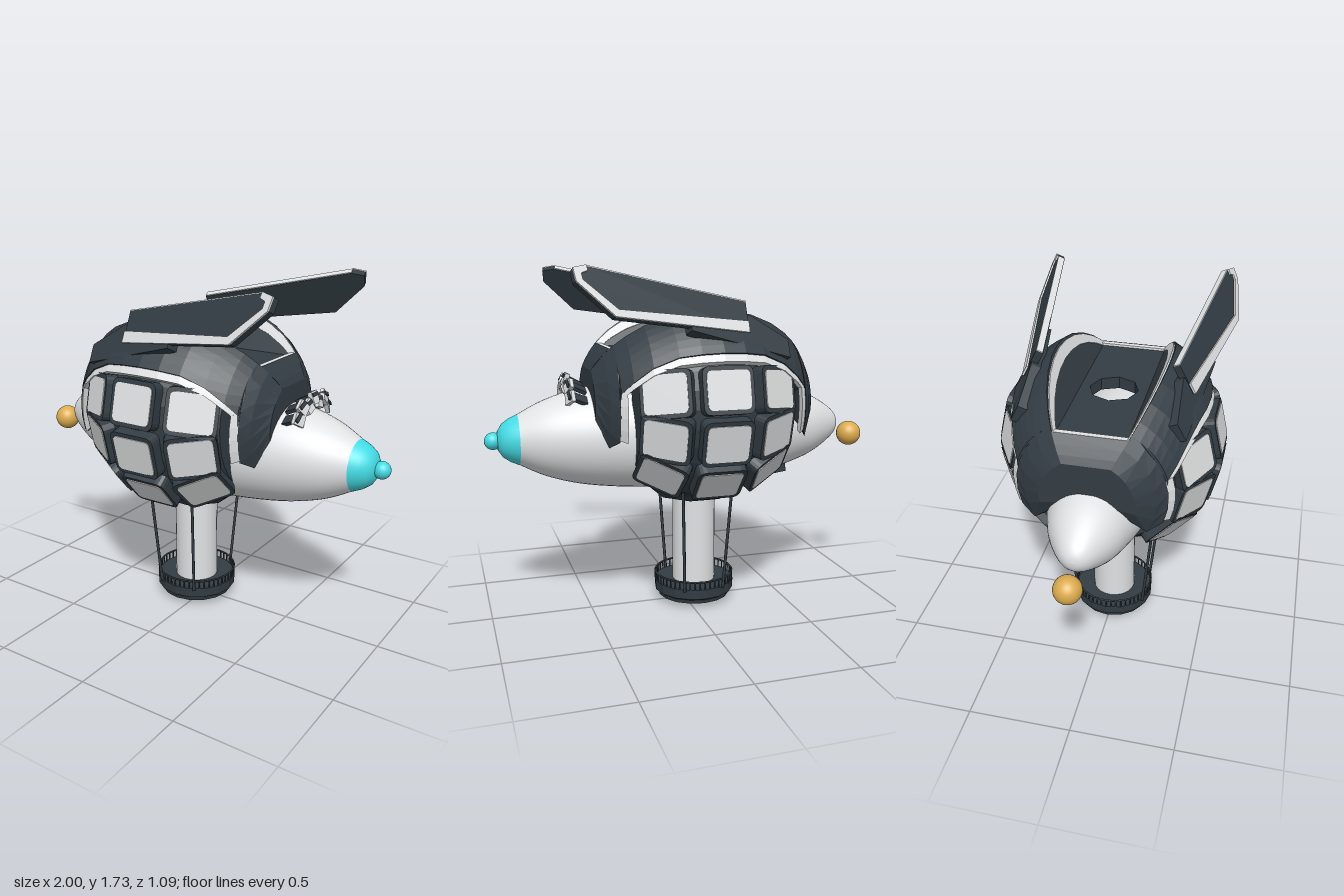
import * as THREE from 'three';

const mat = (name, color, side = THREE.FrontSide) => {
  const m = new THREE.MeshStandardMaterial({ color, side });
  m.name = name;
  return m;
};
const rad = THREE.MathUtils.degToRad;

export function createModel() {
  const root = new THREE.Group();
  root.name = 'airship';
  const dark = mat('dark slate', 0x333d44, THREE.DoubleSide);
  const light = mat('pale grey', 0xe0e2e3, THREE.DoubleSide);
  const cyan = mat('cyan', 0x44dbe4);
  const gold = mat('gold', 0xdcac4e);
  const CX = -0.05;

  const add = (name, geo, material, x = 0, y = 0, z = 0, parent = root) => {
    const m = new THREE.Mesh(geo, material);
    m.name = name;
    m.position.set(x, y, z);
    parent.add(m);
    return m;
  };

  // Thick curved plate: sections at each theta (towards x), spanning phi lo..hi around the x axis
  const block = (knots, { rx, r, rIn, cy, n }) => {
    const pt = (t, p, s) => [CX + rx * Math.sin(rad(t)),
      cy + r * s * Math.cos(rad(t)) * Math.sin(rad(p)),
      r * s * Math.cos(rad(t)) * Math.cos(rad(p))];
    const rings = knots.map(([t, lo, hi]) => {
      const out = [], inn = [];
      for (let j = 0; j <= n; j++) {
        const p = lo + (hi - lo) * j / n;
        out.push(pt(t, p, 1));
        inn.unshift(pt(t, p, rIn));
      }
      return [...out, ...inn];
    });
    const pos = [], L = 2 * n + 2;
    const quad = (a, b, c, d) => pos.push(...a, ...b, ...c, ...a, ...c, ...d);
    for (let i = 0; i < rings.length - 1; i++) {
      for (let j = 0; j < L; j++) {
        const k = (j + 1) % L;
        quad(rings[i][j], rings[i + 1][j], rings[i + 1][k], rings[i][k]);
      }
    }
    const a = rings[0], b = rings[rings.length - 1];
    for (let j = 0; j < n; j++) {
      quad(a[j], a[j + 1], a[L - 2 - j], a[L - 1 - j]);
      quad(b[j + 1], b[j], b[L - 1 - j], b[L - 2 - j]);
    }
    const g = new THREE.BufferGeometry();
    g.setAttribute('position', new THREE.Float32BufferAttribute(pos, 3));
    g.computeVertexNormals();
    return g;
  };
  const mirrorKnots = k => [...k.slice(1).reverse().map(([t, ...v]) => [-t, ...v]), ...k];

  // Hull, turned around the x axis, with a coloured nose
  const spin = pts => new THREE.LatheGeometry(pts, 48).rotateZ(-Math.PI / 2);
  const curve = new THREE.SplineCurve([[-0.85, 0], [-0.84, 0.04], [-0.8, 0.085], [-0.7, 0.148], [-0.6, 0.188],
    [-0.4, 0.24], [-0.1, 0.272], [0.2, 0.275], [0.5, 0.243], [0.7, 0.19], [0.84, 0.122]]
    .map(([x, r]) => new THREE.Vector2(r, x)));
  add('hull', spin(curve.getPoints(50).map(p => p.setX(Math.max(0, p.x)))), light, 0, 0.905);
  add('noseCap', spin([[0.84, 0.123], [0.88, 0.105], [0.915, 0.08], [0.937, 0.045], [0.943, 0]]
    .map(([x, r]) => new THREE.Vector2(r, x))), cyan, 0, 0.905);
  add('noseBall', new THREE.SphereGeometry(0.042, 24, 16), cyan, 0.958, 0.905);
  add('tailBall', new THREE.SphereGeometry(0.065, 32, 20), gold, -0.935, 0.835);

  // Both sides: shell, rims, window panel and fin, built for +z and mirrored
  const shell = { rx: 0.6, r: 0.55, rIn: 0.45, cy: 1.05, n: 6 };
  const arch = [[0, 32], [10, 32], [20, 32], [32, 29], [42, 23], [49, 17]];
  const ends = [[50, -20], [56, -31], [66.4, -8]];
  const shellGeo = block(mirrorKnots([...arch, ...ends].map(([t, p]) => [t, p, 60])), shell);
  const archRim = block(mirrorKnots(arch.map(([t, p]) => [t, p - 4, p])), { ...shell, r: 0.54, rIn: 0.9, n: 1 });
  const postRim = s => block((s > 0 ? [45.5, 49.8] : [-49.8, -45.5]).map(t => [t, -19, 17]),
    { ...shell, r: 0.54, rIn: 0.9, n: 4 });
  const topRim = block(mirrorKnots([0, 10, 20, 30, 40, 47, 51.5].map(t => [t, 59.5, 60.8])),
    { ...shell, r: 0.537, rIn: 0.89, n: 1 });
  const panelGeo = block(mirrorKnots([0, 11, 22, 33, 44].map(t => [t, -60, 35])),
    { rx: 0.53, r: 0.5, rIn: 0.55, cy: 1.06, n: 9 });

  const rounded = (w, h, r) => {
    const s = new THREE.Shape(), x = w / 2, y = h / 2;
    s.moveTo(-x + r, -y).lineTo(x - r, -y).quadraticCurveTo(x, -y, x, -y + r)
      .lineTo(x, y - r).quadraticCurveTo(x, y, x - r, y)
      .lineTo(-x + r, y).quadraticCurveTo(-x, y, -x, y - r)
      .lineTo(-x, -y + r).quadraticCurveTo(-x, -y, -x + r, -y);
    return s;
  };
  const extrude = (shape, depth) => new THREE.ExtrudeGeometry(shape, { depth, bevelEnabled: false, curveSegments: 4 });
  const poly = pts => new THREE.Shape(pts.map(([x, y]) => new THREE.Vector2(x, y)));
  const frameGeo = extrude(rounded(0.245, 0.222, 0.04), 0.06);
  const paneGeo = extrude(rounded(0.207, 0.18, 0.025), 0.008);

  // Fin frame: u runs along the fin, v across it, w faces outwards
  const u = new THREE.Vector3(0.66, 0.09, 0.12).normalize();
  const w = u.clone().cross(new THREE.Vector3(-0.02, 0.13, -0.07)).normalize();
  const v = w.clone().cross(u);

  for (const s of [1, -1]) {
    const side = new THREE.Group();
    side.name = s > 0 ? 'frontSide' : 'backSide';
    side.scale.z = s;
    root.add(side);
    add('shell', shellGeo, dark, 0, 0, 0, side);
    add('archRim', archRim, light, 0, 0, 0, side);
    add('archRimPost', postRim(1), light, 0, 0, 0, side);
    add('archRimPost', postRim(-1), light, 0, 0, 0, side);
    add('topRim', topRim, light, 0, 0, 0, side);
    add('windowPanel', panelGeo, dark, 0, 0, 0, side);

    // Three by three windows facing away from the shell centre
    for (const t of [-31, 0, 31]) for (const p of [13, -14, -41]) {
      const win = new THREE.Group();
      win.name = 'window';
      const d = new THREE.Vector3(Math.sin(rad(t)), Math.cos(rad(t)) * Math.sin(rad(p)),
        Math.cos(rad(t)) * Math.cos(rad(p)));
      win.position.set(CX, 1.06, 0).addScaledVector(d, 0.475);
      win.rotation.set(rad(-p), rad(t), p < -30 ? Math.sign(t) * 0.1 : 0);
      side.add(win);
      add('windowFrame', frameGeo, dark, 0, 0, 0, win);
      add('windowPane', paneGeo, light, 0, 0, 0.056, win);
    }

    // Swept fin with pale edging
    const fin = new THREE.Group();
    fin.name = 'fin';
    fin.quaternion.setFromRotationMatrix(new THREE.Matrix4().makeBasis(u, v, w));
    fin.position.set(-0.19, 1.425, 0.4);
    side.add(fin);
    add('finBlade', extrude(poly([[0, 0], [0.67, 0], [0.84, 0.14], [0.85, 0.2], [0.79, 0.22], [0, 0.155]]), 0.035),
      dark, 0, 0, -0.035, fin);
    add('finRim', extrude(poly([[0, -0.002], [0.67, -0.002], [0.84, 0.138], [0.852, 0.2], [0.79, 0.222], [0.785, 0.195],
      [0.815, 0.18], [0.81, 0.15], [0.655, 0.033], [0, 0.055]]), 0.008), light, 0, 0, 0, fin);
    add('finTopEdge', extrude(poly([[0, 0.154], [0.79, 0.219], [0.79, 0.224], [0, 0.159]]), 0.032),
      light, 0, 0, -0.032, fin);
    add('finRoot', extrude(poly([[-0.22, -0.1], [-0.22, -0.01], [-0.02, 0.09], [0.3, 0.1], [0.3, -0.02]]), 0.06),
      dark, 0, 0, -0.065, fin);
  }

  // Shell ends bridging both sides, with a pale sill just inside the roof opening
  for (const s of [1, -1]) {
    const k = [51.5, 57, 62, 66.4].map(t => [s * t, 60, 120]);
    add('shellEnd', block(s > 0 ? k : k.reverse(), { ...shell, rIn: 0.2, n: 1 }), dark);
    add('shellEndPlate', new THREE.BoxGeometry(0.02, 0.16, 0.2), dark, CX + s * 0.538, 1.11);
    add('roofSill', new THREE.BoxGeometry(0.028, 0.012, 0.33), light, CX + s * 0.455, 1.339);
  }

  // Roof deck with an octagonal opening above the hull
  const deck = poly([[-0.46, -0.17], [0.46, -0.17], [0.46, 0.17], [-0.46, 0.17]]);
  deck.holes.push(new THREE.Path(Array.from({ length: 8 }, (_, i) =>
    new THREE.Vector2(Math.cos(i * Math.PI / 4), Math.sin(i * Math.PI / 4)).multiplyScalar(0.118))));
  add('roofDeck', extrude(deck, 0.06).rotateX(-Math.PI / 2), dark, CX, 1.27);

  // Broken crest of small plates over the hull
  for (let i = -3; i <= 3; i++) {
    const odd = i % 2 !== 0;
    const tooth = new THREE.Group();
    tooth.name = 'crestTooth';
    tooth.position.set(0.57, 0.905, 0);
    tooth.rotation.x = i * 0.2;
    root.add(tooth);
    add('crestPlate', new THREE.BoxGeometry(0.1, 0.018, 0.05), dark, 0, odd ? 0.255 : 0.28, 0, tooth).rotation.z = 0.5;
    add('crestBlock', new THREE.BoxGeometry(0.02, 0.06, 0.055), light, 0.035, odd ? 0.26 : 0.285, 0, tooth)
      .rotation.set(i * 0.15, 0, 0.4);
  }
  add('tailHatch', new THREE.BoxGeometry(0.15, 0.05, 0.12), dark, -0.465, 0.68, 0).rotation.z = -0.12;

  // Collar, column, basket and stays underneath
  const lathe = (pts, n) => new THREE.LatheGeometry(pts.map(([r, y]) => new THREE.Vector2(r, y)), n)
    .toNonIndexed();
  const flat = g => { g.computeVertexNormals(); return g; };
  add('collar', flat(lathe([[0.1, 0.578], [0.2, 0.578], [0.265, 0.63], [0.265, 0.655], [0.1, 0.655]], 8)
    .rotateY(Math.PI / 8)), dark, CX);
  add('collarRing', new THREE.RingGeometry(0.145, 0.182, 8).rotateZ(Math.PI / 8).rotateX(Math.PI / 2),
    light, CX, 0.574);
  add('column', new THREE.CylinderGeometry(0.11, 0.11, 0.52, 24), light, CX, 0.36);
  add('basket', flat(lathe([[0, 0.025], [0.06, 0.025], [0.07, 0.005], [0.12, 0.003], [0.185, 0.03], [0.19, 0.05],
    [0.205, 0.06], [0.208, 0.11], [0, 0.11]], 16)), dark, CX);
  add('basketHandrail', new THREE.TorusGeometry(0.202, 0.005, 6, 40).rotateX(Math.PI / 2), dark, CX, 0.15);
  const post = new THREE.BoxGeometry(0.006, 0.042, 0.006);
  for (let i = 0; i < 48; i++) {
    const a = i * Math.PI / 24;
    add('railPost', post, dark, CX + 0.202 * Math.cos(a), 0.13, 0.202 * Math.sin(a));
  }
  for (const sx of [1, -1]) for (const sz of [1, -1]) {
    const stay = new THREE.LineCurve3(new THREE.Vector3(CX + sx * 0.127, 0.64, sz * 0.23),
      new THREE.Vector3(CX + sx * 0.102, 0.1, sz * 0.178));
    add('stay', new THREE.TubeGeometry(stay, 1, 0.008, 6), dark);
  }
  return root;
}
